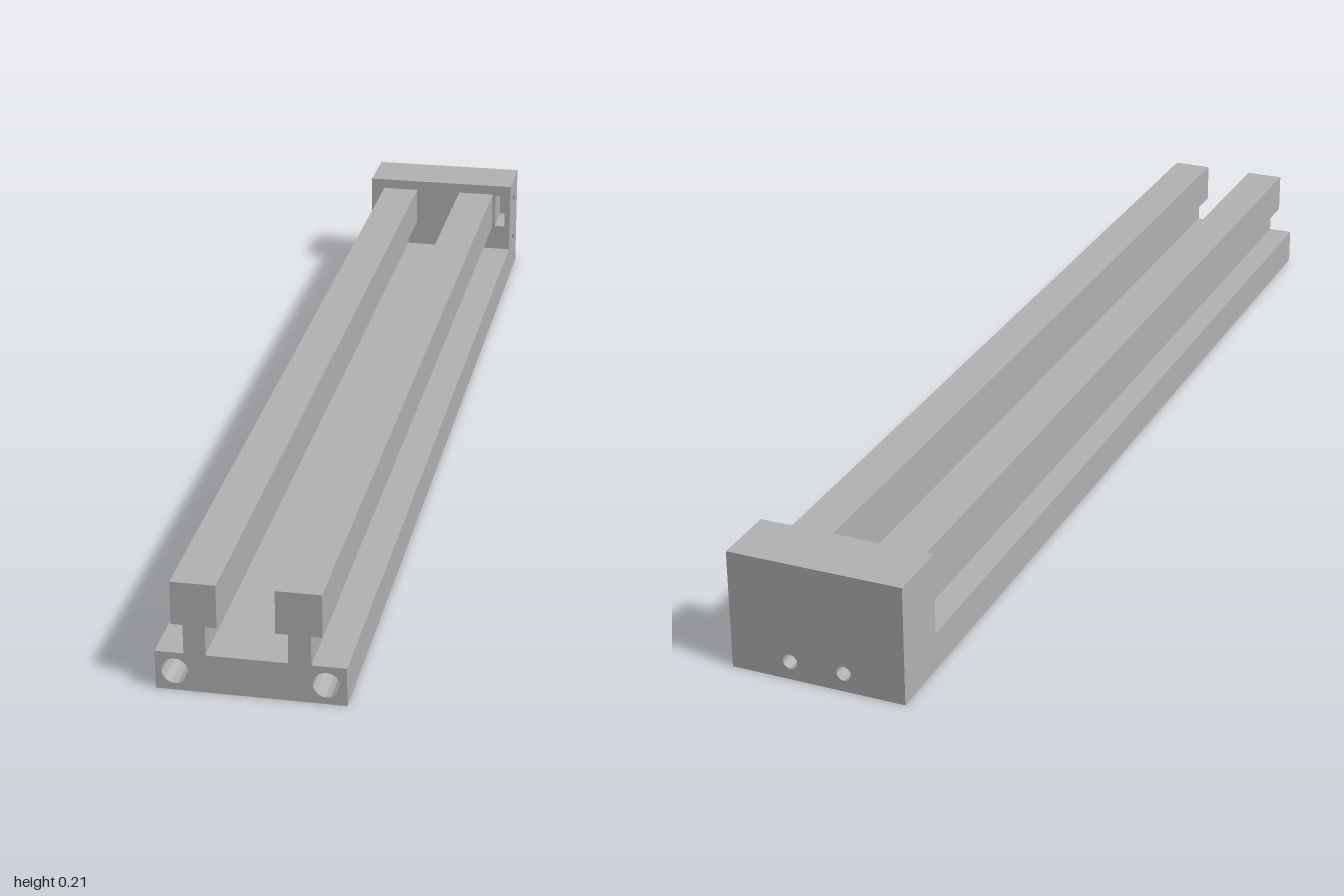
import * as THREE from 'three';
import { toCreasedNormals } from 'three/addons/utils/BufferGeometryUtils.js';

const HALF = 0.155;      // half width
const BASE_H = 0.067;    // base slab height
const BLOCK_H = 0.213;   // end block height
const BLOCK_Z = -0.883;  // front face of the end block
const POCKET_X = [0.122, 0.143];

// Closed polygon with optional round holes [x, y, r]
function outline(points, holes = []) {
  const shape = new THREE.Shape(points.map(([x, y]) => new THREE.Vector2(x, y)));
  for (const [x, y, r] of holes) {
    const hole = new THREE.Path();
    hole.absarc(x, y, r, 0, Math.PI * 2, true);
    shape.holes.push(hole);
  }
  return shape;
}

function extrude(shape, depth) {
  const geometry = new THREE.ExtrudeGeometry(shape, { depth, bevelEnabled: false, curveSegments: 24 });
  return toCreasedNormals(geometry, Math.PI / 6);
}

// Extrude along z between two z values
const alongZ = (shape, z0, z1) => extrude(shape, z1 - z0).translate(0, 0, z0);

// Extrude along x; the shape is drawn in (-z, y)
const alongX = (shape, x0, x1) => extrude(shape, x1 - x0).rotateY(Math.PI / 2).translate(x0, 0, 0);

const rect = (x0, x1, y0, y1) => [[x0, y0], [x1, y0], [x1, y1], [x0, y1]];

// Outline of one T-headed rail, walked from its right foot to its left foot
function railPoints(stem0, stem1, head0, head1) {
  const neck = 0.118, top = 0.193;
  return [
    [stem1, BASE_H], [stem1, neck], [head1, neck], [head1, top],
    [head0, top], [head0, neck], [stem0, neck], [stem0, BASE_H],
  ];
}

export function createModel() {
  const model = new THREE.Group();
  model.name = 'railTrack';
  const metal = new THREE.MeshStandardMaterial({ color: 0xb2b2b2 });
  metal.name = 'grey metal';

  const add = (name, geometry, parent) => {
    const mesh = new THREE.Mesh(geometry, metal);
    mesh.name = name;
    parent.add(mesh);
  };

  // Base slab and both rails in one section, with two lengthwise bores
  const section = outline([
    [-HALF, 0], [HALF, 0], [HALF, BASE_H],
    ...railPoints(0.061, 0.098, 0.041, 0.116),
    ...railPoints(-0.108, -0.072, -0.127, -0.053),
    [-HALF, BASE_H],
  ], [[-0.123, 0.034, 0.022], [0.122, 0.034, 0.022]]);
  add('railProfile', alongZ(section, BLOCK_Z, 1), model);

  // End block: core, pocketed layer and drilled cheek
  const endBlock = new THREE.Group();
  endBlock.name = 'endBlock';
  model.add(endBlock);

  const backHoles = [-0.047, 0.049].map((x) => [x, 0.033, 0.013]);
  const core = outline(rect(-HALF, POCKET_X[0], 0, BLOCK_H), backHoles);
  add('blockCore', alongZ(core, -1, BLOCK_Z), endBlock);

  // Pocket opening towards the rails
  const front = -BLOCK_Z;
  const pocketEnd = 0.965;
  const sideHoles = [0.07, 0.163].map((y) => [0.942, y, 0.012]);
  const pocketLayer = outline([
    [front, 0], [1, 0], [1, BLOCK_H], [front, BLOCK_H],
    [front, 0.191], [pocketEnd, 0.191], [pocketEnd, 0.12], [front, 0.12],
  ], [sideHoles[0]]);
  add('pocketLayer', alongX(pocketLayer, ...POCKET_X), endBlock);

  const cheek = outline(rect(front, 1, 0, BLOCK_H), sideHoles);
  add('drilledCheek', alongX(cheek, POCKET_X[1], HALF), endBlock);

  return model;
}
